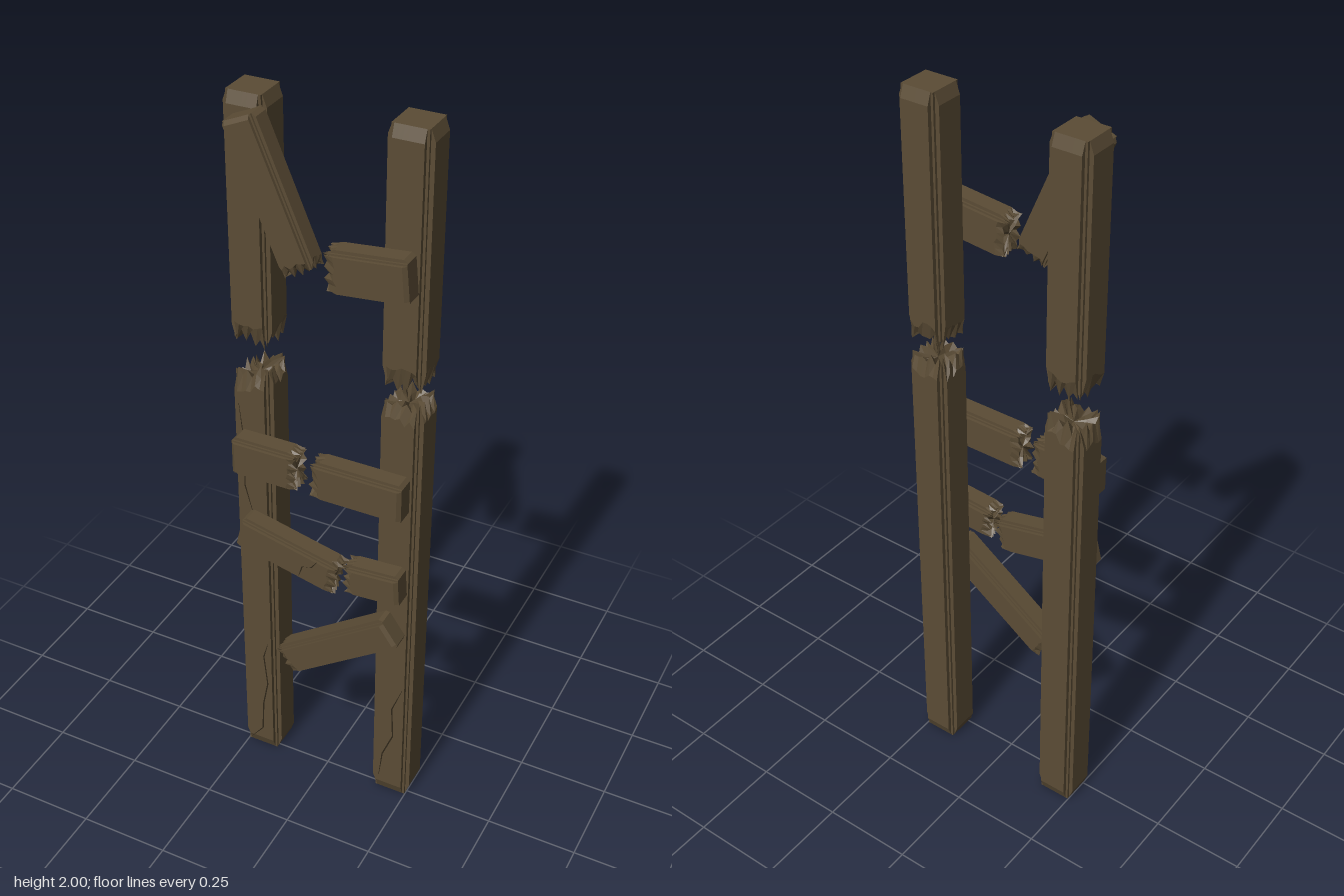
import * as THREE from 'three';

const wood = new THREE.MeshStandardMaterial({ color: 0x5b4c35, flatShading: true });
const dark = new THREE.MeshStandardMaterial({ color: 0x2e2619, side: THREE.DoubleSide });

// Small seeded generator for the splinters
function seeded(seed) {
  let s = seed * 7919 + 17;
  return () => (s = (s * 16807) % 2147483647) / 2147483647;
}

// Cross-section of a beam with stepped corners and subdivided flat sides
function section(w, d, step) {
  const hx = w / 2, hz = d / 2, n = 6, pts = [];
  const qx = hx - step, qz = hz - step, ax = hx - step * 1.6, az = hz - step * 1.6;
  const corners = [[1, -1], [1, 1], [-1, 1], [-1, -1]];
  corners.forEach(([sx, sz], i) => {
    const c = [[hx, az], [qx, az], [qx, qz], [ax, qz], [ax, hz]].map(([x, z]) => [x * sx, z * sz]);
    if (i % 2 === 0) c.reverse();
    pts.push(...c);
    const [nx, nz] = corners[(i + 1) % 4];
    const end = i % 2 === 0 ? [hx * nx, az * nz] : [ax * nx, hz * nz];
    const start = c[4];
    for (let k = 1; k < n; k++) {
      pts.push([start[0] + (end[0] - start[0]) * k / n, start[1] + (end[1] - start[1]) * k / n]);
    }
  });
  return pts;
}

// Beam from a sawn end to a splintered end, lying in the plane z
function beam(name, from, to, { w, d, z, step, taper, jag, skew = 0, seed }) {
  const rand = seeded(seed);
  const dx = to[0] - from[0], dy = to[1] - from[1], len = Math.hypot(dx, dy);
  const sec = section(w, d, step), n = sec.length;
  const clamp = (v, m) => Math.max(-m, Math.min(m, v));
  const inset = ([x, z0]) => [clamp(x, w / 2 - step), clamp(z0, d / 2 - step)];
  const lean = x => skew * x / w;
  const small = sec.map(inset);
  const rings = [
    small.map(([x, q]) => [x, 0, q]),
    sec.map(([x, q]) => [x, taper, q]),
    sec.map(([x, q]) => [x, len - jag * (1.1 + 0.5 * rand()) + lean(x), q]),
    small.map(([x, q], i) => [x, len - (i % 2 ? 0.75 : 0.25) * jag + (rand() - 0.5) * jag * 0.6 + lean(x), q]),
    small.map(([x, q]) => [x * 0.55, len - jag * (0.3 + rand()) + lean(x), q * 0.55]),
  ];
  const pos = [];
  const tri = (...p) => p.forEach(v => pos.push(...v));
  for (let r = 0; r < rings.length - 1; r++) {
    for (let i = 0; i < n; i++) {
      const j = (i + 1) % n, a = rings[r], b = rings[r + 1];
      tri(a[i], b[i], a[j]);
      tri(a[j], b[i], b[j]);
    }
  }
  // End caps: flat at the sawn end, hollowed at the break
  const last = rings[rings.length - 1];
  for (let i = 0; i < n; i++) {
    const j = (i + 1) % n;
    tri([0, 0, 0], rings[0][i], rings[0][j]);
    tri([0, len - jag * 0.8, 0], last[j], last[i]);
  }
  const geo = new THREE.BufferGeometry();
  geo.setAttribute('position', new THREE.Float32BufferAttribute(pos, 3));
  geo.computeVertexNormals();
  const mesh = new THREE.Mesh(geo, wood);
  mesh.name = name;
  mesh.position.set(from[0], from[1], z);
  mesh.rotation.z = Math.atan2(-dx, dy);
  return mesh;
}

// Thin tapering crack drawn along a path on a front face
function crack(name, path, z) {
  const width = 0.004;
  const right = path.map(([x, y], i) => [x + (i > 0 && i < path.length - 1 ? width : 0.001), y]);
  const shape = new THREE.Shape([...path, ...right.reverse()].map(p => new THREE.Vector2(...p)));
  const mesh = new THREE.Mesh(new THREE.ShapeGeometry(shape), dark);
  mesh.name = name;
  mesh.position.z = z;
  return mesh;
}

export function createModel() {
  const group = new THREE.Group();
  group.name = 'brokenLadder';

  // Four halves of the two snapped side posts
  const post = { w: 0.112, d: 0.11, z: -0.03, step: 0.011, taper: 0.03, jag: 0.045 };
  const X = 0.203;
  group.add(
    beam('lowerLeftPost', [X, 0], [X, 1.315], { ...post, seed: 3 }),
    beam('upperLeftPost', [X, 2], [X, 1.335], { ...post, seed: 5 }),
    beam('lowerRightPost', [-X, 0], [-X, 1.29], { ...post, skew: 0.035, seed: 8 }),
    beam('upperRightPost', [-X, 2], [-X, 1.345], { ...post, seed: 11 }),
  );

  // Snapped rungs: sawn end, broken end, width
  const rungs = [
    ['topRungRight', [-0.188, 1.965], [-0.036, 1.61], 0.094],
    ['topRungLeft', [0.236, 1.658], [0.025, 1.638], 0.112],
    ['middleRungRight', [-0.234, 1.05], [-0.045, 1.05], 0.112],
    ['middleRungLeft', [0.236, 1.047], [-0.018, 1.047], 0.112],
    ['lowRungRight', [-0.222, 0.812], [0.065, 0.744], 0.1],
    ['lowRungLeft', [0.236, 0.775], [0.077, 0.764], 0.095],
    ['bottomRung', [0.215, 0.63], [-0.1, 0.41], 0.092],
  ];
  rungs.forEach(([name, a, b, w], i) => group.add(beam(name, a, b,
    { w, d: 0.07, z: 0.046, step: 0.008, taper: 0.01, jag: 0.022, seed: 20 + i })));

  // Cracks along the grain
  group.add(
    crack('rightPostCrack', [[-0.175, 0.4], [-0.19, 0.35], [-0.18, 0.25], [-0.195, 0.17], [-0.2, 0.07], [-0.236, 0.02]], 0.0255),
    crack('rightPostUpperCrack', [[-0.238, 1.18], [-0.226, 1.05], [-0.23, 0.93], [-0.205, 0.84]], 0.0255),
    crack('leftPostCrack', [[0.235, 0.4], [0.205, 0.32], [0.21, 0.22], [0.18, 0.14], [0.172, 0.05]], 0.0255),
    crack('rungCrack', [[0.01, 0.8], [-0.01, 0.775], [-0.035, 0.77], [-0.045, 0.735]], 0.0815),
  );
  return group;
}
